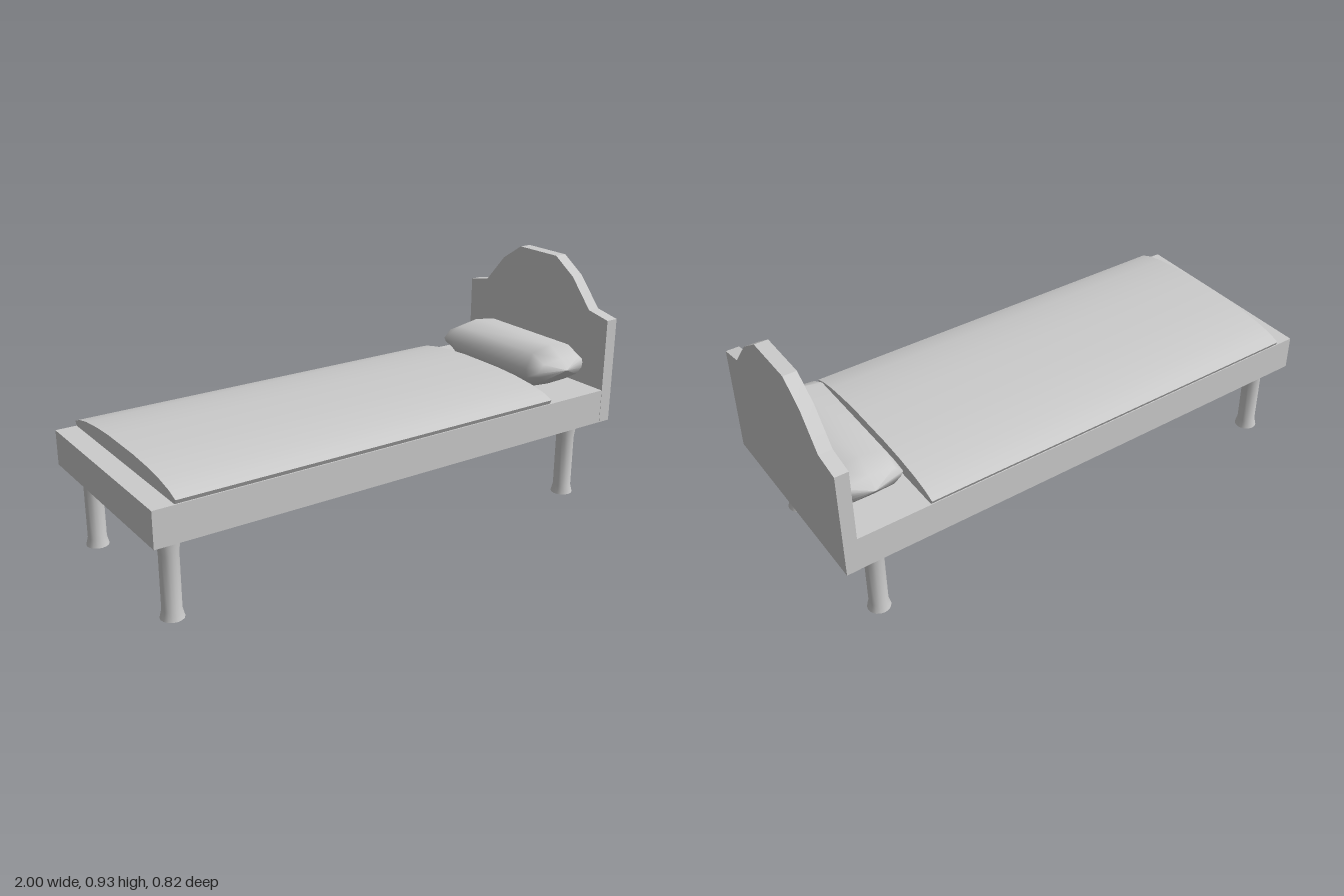
import * as THREE from 'three';
import { toCreasedNormals } from 'three/addons/utils/BufferGeometryUtils.js';

const material = new THREE.MeshStandardMaterial({ color: 0xcccccc });

function part(name, geometry) {
  const mesh = new THREE.Mesh(geometry, material);
  mesh.name = name;
  return mesh;
}

// Extrudes a mirrored profile of [z, y] points along x, from x0 to x1
function mirroredPanel(half, x0, x1, crease) {
  const points = [...half, ...half.map(([z, y]) => [-z, y]).reverse()];
  const shape = new THREE.Shape(points.map(([z, y]) => new THREE.Vector2(z, y)));
  const geometry = new THREE.ExtrudeGeometry(shape, { depth: x1 - x0, bevelEnabled: false });
  geometry.rotateY(Math.PI / 2).translate(x0, 0, 0);
  return toCreasedNormals(geometry, crease);
}

// Soft cushion: one outline in x/y, scaled along z and closed at both tips
function pillowGeometry() {
  const cx = 0.83, cy = 0.53;
  const outline = [
    [0.125, 0], [0.12, 0.035], [0.1, 0.064], [0, 0.08], [-0.095, 0.062],
    [-0.127, 0], [-0.118, -0.035], [-0.09, -0.076], [0, -0.083], [0.09, -0.08], [0.12, -0.04],
  ];
  // z, x scale, y scale
  const sections = [
    [-0.325, 0.001, 0.001], [-0.29, 0.97, 0.5], [-0.225, 1, 1],
    [0.225, 1, 1], [0.29, 0.97, 0.5], [0.325, 0.001, 0.001],
  ];
  const positions = [], index = [], n = outline.length;
  for (const [z, sx, sy] of sections) {
    for (const [x, y] of outline) positions.push(cx + x * sx, cy + y * sy, z);
  }
  for (let j = 0; j < sections.length - 1; j++) {
    for (let i = 0; i < n; i++) {
      const a = j * n + i, b = j * n + (i + 1) % n;
      index.push(a, b, a + n, b, b + n, a + n);
    }
  }
  const geometry = new THREE.BufferGeometry();
  geometry.setAttribute('position', new THREE.Float32BufferAttribute(positions, 3));
  geometry.setIndex(index);
  geometry.computeVertexNormals();
  return geometry;
}

export function createModel() {
  const bed = new THREE.Group();
  bed.name = 'bed';

  // Bed base
  const base = part('bedBase', new THREE.BoxGeometry(1.95, 0.135, 0.81));
  base.position.set(-0.025, 0.3785, 0);
  bed.add(base);

  // Headboard with a stepped arch
  bed.add(part('headboard', mirroredPanel(
    [[0.406, 0.311], [0.406, 0.733], [0.305, 0.753], [0.205, 0.867], [0.105, 0.933]],
    0.95, 1, 0.3)));

  // Domed blanket with slightly overhanging edges
  bed.add(part('blanket', mirroredPanel(
    [[0.402, 0.447], [0.411, 0.464], [0.365, 0.481], [0.3, 0.494], [0.2, 0.505], [0.1, 0.51]],
    -0.92, 0.672, 0.6)));

  bed.add(part('pillow', pillowGeometry()));

  // Four turned legs, flared at both ends
  const profile = [[0, 0], [0.043, 0], [0.035, 0.032], [0.035, 0.24], [0.044, 0.311]];
  const legGeometry = toCreasedNormals(
    new THREE.LatheGeometry(profile.map(([r, y]) => new THREE.Vector2(r, y)), 16), 0.8);
  for (const [x, end] of [[-0.91, 'foot'], [0.857, 'head']]) {
    for (const [z, side] of [[0.314, 'Front'], [-0.314, 'Back']]) {
      const leg = part(`${end}${side}Leg`, legGeometry);
      leg.position.set(x, 0, z);
      bed.add(leg);
    }
  }
  return bed;
}
